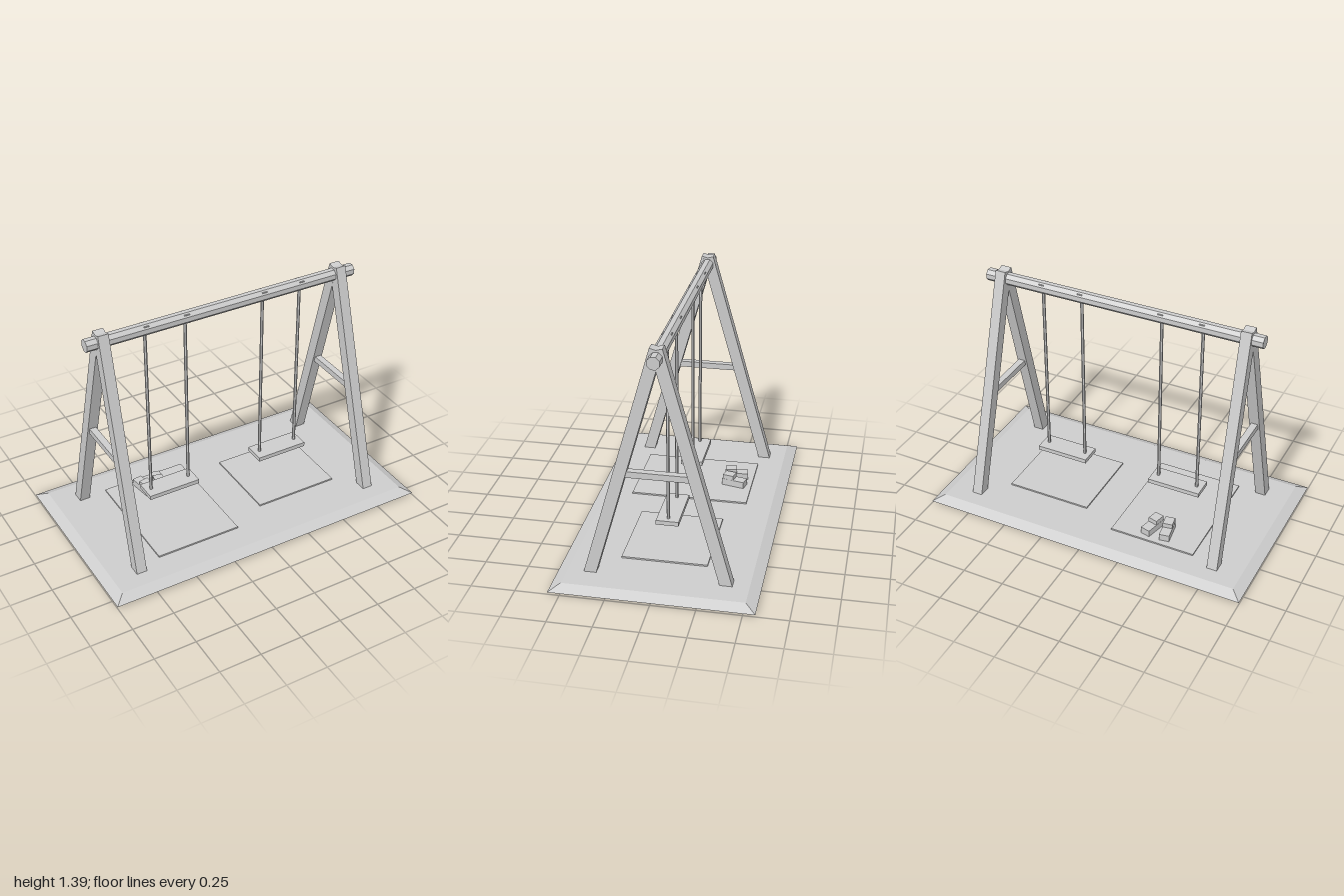
import * as THREE from 'three';

export function createModel() {
  const model = new THREE.Group();
  const grey = new THREE.MeshStandardMaterial({ color: 0xcccccc });
  grey.name = 'light grey';

  const add = (name, geometry, x = 0, y = 0, z = 0, parent = model) => {
    const mesh = new THREE.Mesh(geometry, grey);
    mesh.name = name;
    mesh.position.set(x, y, z);
    parent.add(mesh);
    return mesh;
  };
  const box = (name, w, h, d, x, y, z, parent) =>
    add(name, new THREE.BoxGeometry(w, h, d), x, y, z, parent);
  const faceted = (radius, length, sides, turn) => {
    const g = new THREE.CylinderGeometry(radius, radius, length, sides, 1, false, turn).toNonIndexed();
    g.computeVertexNormals();
    return g;
  };

  // Ground slab with a bevelled rim
  const slab = new THREE.BoxGeometry(2, 0.03, 1.136);
  const p = slab.attributes.position;
  for (let i = 0; i < p.count; i++) {
    if (p.getY(i) > 0) {
      p.setX(i, Math.sign(p.getX(i)) * 0.94);
      p.setZ(i, Math.sign(p.getZ(i)) * 0.508);
    }
  }
  slab.computeVertexNormals();
  add('groundSlab', slab, 0, 0.027, 0);

  // Landing mats
  box('rightMat', 0.52, 0.012, 0.705, -0.37, 0.045, -0.003);
  box('leftMat', 0.52, 0.012, 0.49, 0.368, 0.045, -0.003);

  // A-frames: two splayed legs and a brace on each side
  for (const side of [-1, 1]) {
    const frame = new THREE.Group();
    frame.name = side < 0 ? 'rightFrame' : 'leftFrame';
    model.add(frame);
    for (const end of [-1, 1]) {
      const top = new THREE.Vector3(side * 0.751, 1.381, end * 0.002);
      const foot = new THREE.Vector3(side * 0.772, 0.01, end * 0.388);
      const up = top.clone().sub(foot);
      const length = up.length();
      up.normalize();
      const across = new THREE.Vector3().crossVectors(up, new THREE.Vector3(0, 0, 1)).normalize();
      const depth = new THREE.Vector3().crossVectors(across, up);
      const leg = box(end > 0 ? 'frontLeg' : 'backLeg', 0.062, length, 0.068, 0, 0, 0, frame);
      // Keep the section square to x, leaning only with the leg
      const xAxis = new THREE.Vector3(1, 0, 0).addScaledVector(up, -up.x).normalize();
      depth.crossVectors(xAxis, up);
      leg.quaternion.setFromRotationMatrix(new THREE.Matrix4().makeBasis(xAxis, up, depth));
      leg.position.copy(top).add(foot).multiplyScalar(0.5);
    }
    box('brace', 0.04, 0.036, 0.38, side * 0.763, 0.658, 0, frame);
  }

  // Octagonal top beam
  add('topBeam', faceted(0.0375, 1.695, 8, Math.PI / 8), 0, 1.335, 0).rotation.z = Math.PI / 2;

  // Swings
  for (const side of [-1, 1]) {
    const swing = new THREE.Group();
    swing.name = side < 0 ? 'rightSwing' : 'leftSwing';
    swing.position.x = side * 0.37;
    model.add(swing);
    box('seat', 0.323, 0.026, 0.13, 0, 0.235, 0, swing);
    for (const s of [-1, 1]) {
      const x = s * 0.123;
      add('rope', faceted(0.0095, 1.08, 6, 0), x, 0.78, 0, swing);
      box('hanger', 0.032, 0.054, 0.054, x, 1.335, 0, swing);
    }
  }

  // Pair of blocky shoes on the right mat
  for (const [name, x, turn] of [['rightShoe', -0.422, 0.15], ['leftShoe', -0.327, -0.235]]) {
    const shoe = new THREE.Group();
    shoe.name = name;
    shoe.position.set(x, 0.05, -0.249);
    shoe.rotation.y = turn;
    model.add(shoe);
    box('shoeBody', 0.06, 0.044, 0.142, 0, 0.02, 0, shoe);
    box('shoeAnkle', 0.058, 0.072, 0.066, 0, 0.034, 0.032, shoe);
  }

  return model;
}
